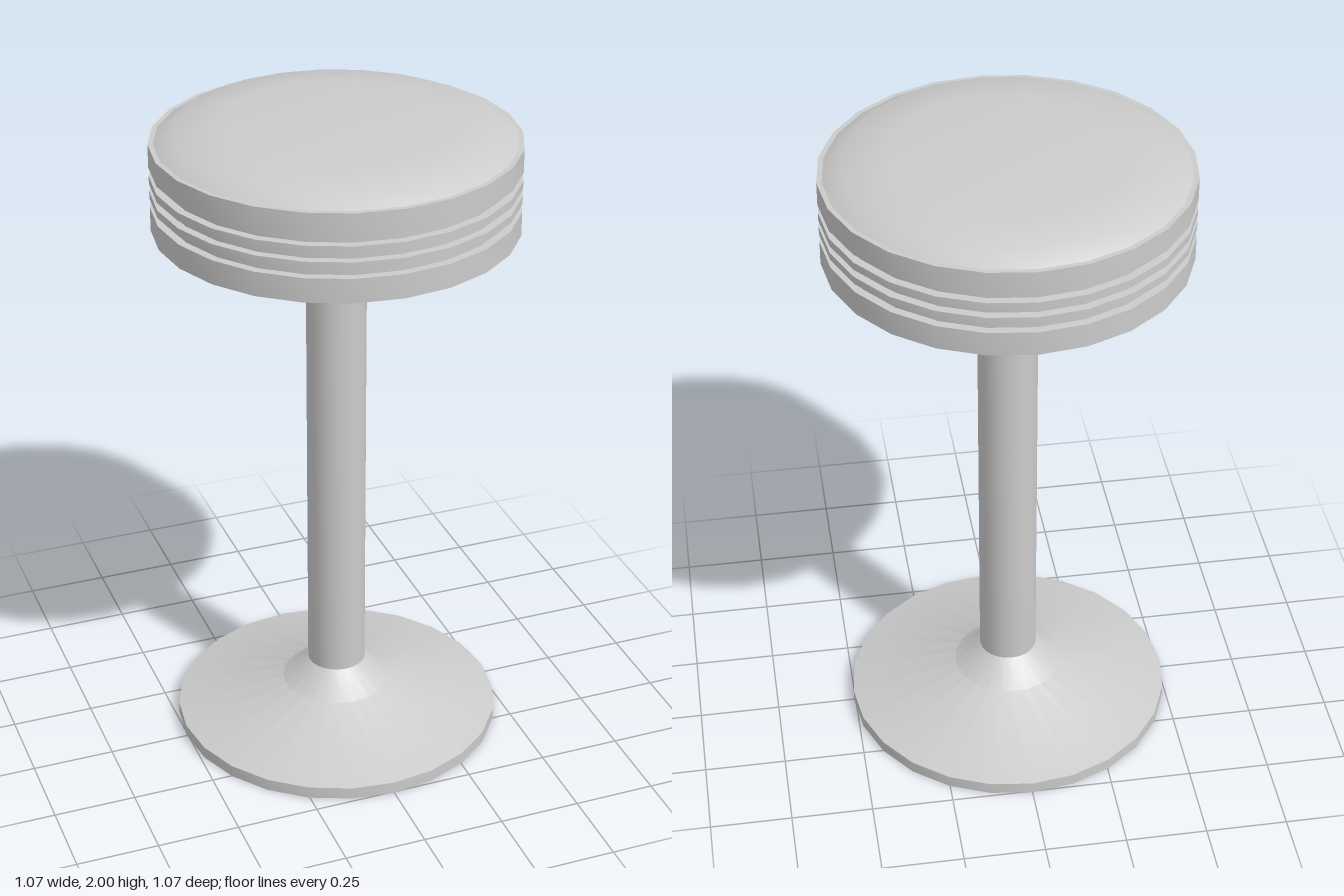
import * as THREE from 'three';
import { toCreasedNormals } from 'three/addons/utils/BufferGeometryUtils.js';

const SIDES = 24;

export function createModel() {
  const stool = new THREE.Group();
  stool.name = 'barStool';
  const solid = new THREE.MeshStandardMaterial({ color: 0xcccccc });
  const shell = new THREE.MeshStandardMaterial({ color: 0xcccccc, side: THREE.DoubleSide });

  // Turned part from [radius, height] pairs, listed from bottom to top
  function turned(name, profile, material) {
    const points = profile.map(([r, y]) => new THREE.Vector2(r, y));
    const geometry = toCreasedNormals(new THREE.LatheGeometry(points, SIDES), 0.5);
    const mesh = new THREE.Mesh(geometry, material);
    mesh.name = name;
    stool.add(mesh);
  }

  // Flared foot, hollow underneath
  turned('base', [[0.505, 0], [0.505, 0.038], [0.17, 0.12], [0.09, 0.192]], shell);

  // Open tube between foot and seat
  turned('column', [[0.09, 0.192], [0.09, 1.688]], shell);

  // Seat band: flat underside and three grooves cut into the side
  const outer = 0.537, inner = 0.512;
  const band = [[0, 1.688], [outer, 1.688]];
  for (const [low, high] of [[1.761, 1.787], [1.81, 1.833], [1.857, 1.883]]) {
    band.push([outer, low], [inner, low], [inner, high], [outer, high]);
  }
  band.push([outer, 1.953], [0.522, 1.953]);
  turned('seatBand', band, solid);

  // Softly domed cushion with a flat middle
  turned('cushion', [[0.522, 1.953], [0.467, 1.985], [0.34, 2], [0, 2]], solid);

  return stool;
}
